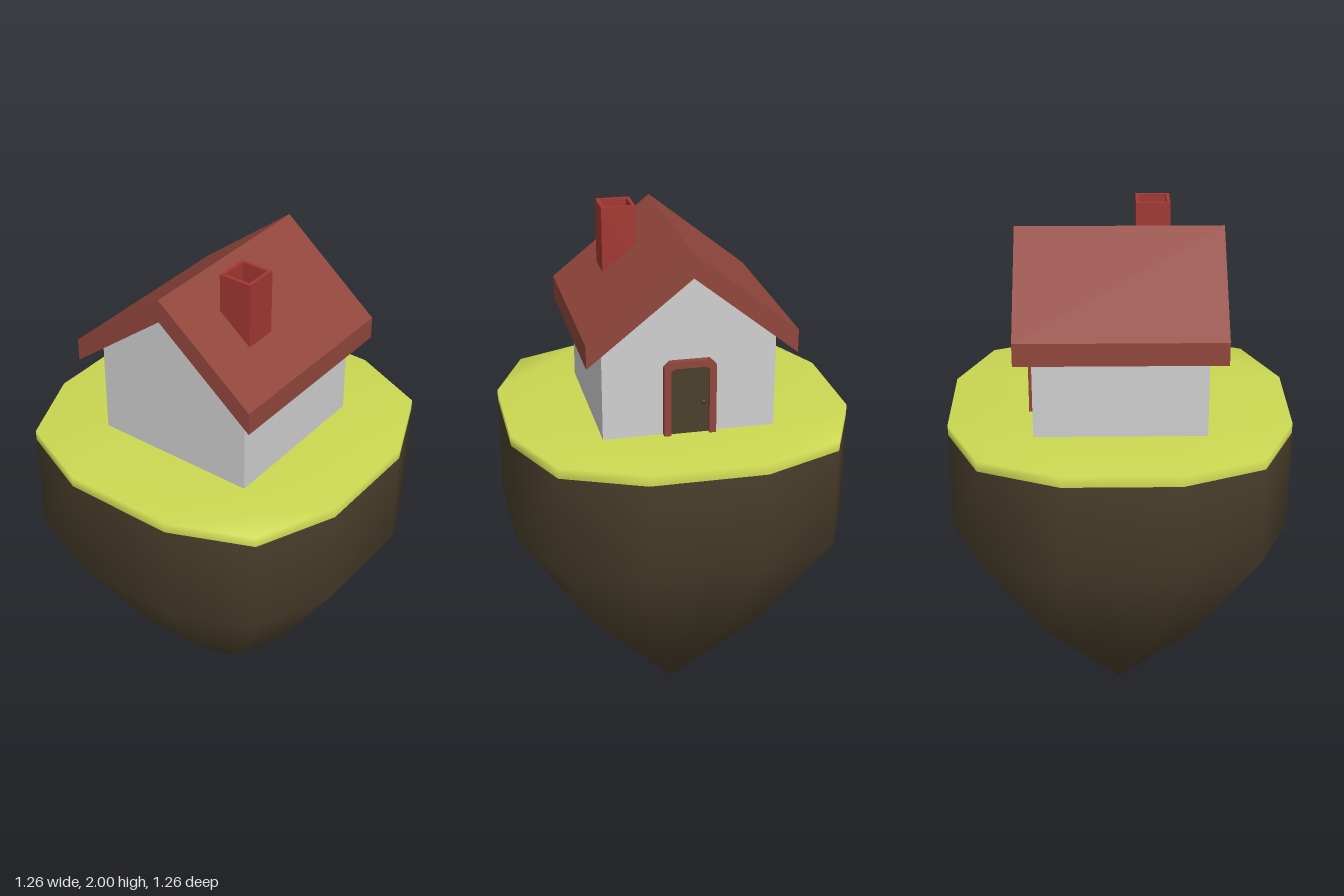
import * as THREE from 'three';
import { mergeVertices } from 'three/addons/utils/BufferGeometryUtils.js';

const mat = (name, color) => {
  const m = new THREE.MeshStandardMaterial({ color });
  m.name = name;
  return m;
};

const GROUND = 1.265;

// Shape from a short list of [x, y] corners
const poly = (pts) => new THREE.Shape(pts.map(([x, y]) => new THREE.Vector2(x, y)));

function extrude(shape, z0, z1) {
  const g = new THREE.ExtrudeGeometry(shape, { depth: z1 - z0, bevelEnabled: false });
  return g.translate(0, 0, z0);
}

// Floating island: a gridded box with rounded corners, pulled to a point below
function islandGeometry() {
  const rows = [0, 0.42, 0.845, 1.225, GROUND];
  const scales = [0, 0.58, 1, 1, 1];
  let g = new THREE.BoxGeometry(3, 4, 3, 3, 4, 3);
  g.deleteAttribute('normal');
  g.deleteAttribute('uv');
  g.clearGroups();
  const p = g.attributes.position;
  const half = (v) => Math.sign(v) * (Math.abs(v) > 1 ? 0.632 : 0.211);
  for (let i = 0; i < p.count; i++) {
    const row = Math.round(p.getY(i) + 2);
    const corner = Math.abs(p.getX(i)) > 1 && Math.abs(p.getZ(i)) > 1;
    const s = scales[row] * (corner ? 0.8 : 1);
    p.setXYZ(i, half(p.getX(i)) * s, rows[row], half(p.getZ(i)) * s);
  }
  g = mergeVertices(g, 1e-4);

  // Sort the faces into soil and grass, dropping those collapsed at the tip
  const soil = [], grass = [];
  const idx = g.index.array, q = g.attributes.position;
  for (let i = 0; i < idx.length; i += 3) {
    const t = [idx[i], idx[i + 1], idx[i + 2]];
    if (new Set(t).size < 3) continue;
    const low = Math.min(...t.map((k) => q.getY(k)));
    (low > 1.2 ? grass : soil).push(...t);
  }
  g.setIndex([...soil, ...grass]);
  g.addGroup(0, soil.length, 0);
  g.addGroup(soil.length, grass.length, 1);
  g.computeVertexNormals();
  return g;
}

export function createModel() {
  const soil = mat('soil brown', 0x4b3f2c);
  const grass = mat('grass green', 0xcbd852);
  const wall = mat('wall grey', 0xcfcfcf);
  const roofRed = mat('roof red', 0x91463c);
  const brick = mat('chimney red', 0xa23833);

  const model = new THREE.Group();
  model.name = 'islandHouse';
  const add = (name, geometry, material, parent = model) => {
    const m = new THREE.Mesh(geometry, material);
    m.name = name;
    parent.add(m);
    return m;
  };

  add('island', islandGeometry(), [soil, grass]);

  // Gabled walls
  const w = 0.315;
  add('walls', extrude(poly([
    [-w, GROUND], [w, GROUND], [w, 1.614], [0, 1.863], [-w, 1.614],
  ]), -w, w), wall);

  // Roof slab folded over the ridge
  const r = 0.378;
  add('roof', extrude(poly([
    [-r, 1.565], [0, 1.865], [r, 1.565], [r, 1.65], [0, 1.95], [-r, 1.65],
  ]), -r, r), roofRed);

  // Hollow chimney with a floor inside
  const chimney = new THREE.Group();
  chimney.name = 'chimney';
  chimney.position.set(0.176, 0, 0.125);
  model.add(chimney);
  const square = (s) => [[-s, -s], [s, -s], [s, s], [-s, s]];
  const tube = poly(square(0.063));
  tube.holes.push(poly(square(0.05)));
  add('chimneyShaft', extrude(tube, 1.72, 2).rotateX(-Math.PI / 2), brick, chimney);
  add('chimneyFloor', new THREE.BoxGeometry(0.104, 0.02, 0.104).translate(0, 1.87, 0), brick, chimney);

  // Door in the back wall: frame with clipped corners, panel and knob
  const door = new THREE.Group();
  door.name = 'door';
  model.add(door);
  const arch = (h, top, c) => [
    [-h, GROUND], [h, GROUND], [h, top - c], [h - c, top], [-h + c, top], [-h, top - c],
  ];
  const frame = poly([
    [-0.095, GROUND], [-0.07, GROUND], [-0.07, 1.51], [-0.058, 1.522], [0.058, 1.522], [0.07, 1.51],
    [0.07, GROUND], [0.095, GROUND], [0.095, 1.527], [0.073, 1.548], [-0.073, 1.548], [-0.095, 1.527],
  ]);
  add('doorFrame', extrude(frame, -0.338, -0.31), roofRed, door);
  add('doorPanel', extrude(poly(arch(0.072, 1.525, 0.012)), -0.322, -0.314), soil, door);
  add('doorKnob', new THREE.SphereGeometry(0.009, 10, 8).translate(-0.05, 1.385, -0.328), soil, door);

  return model;
}
